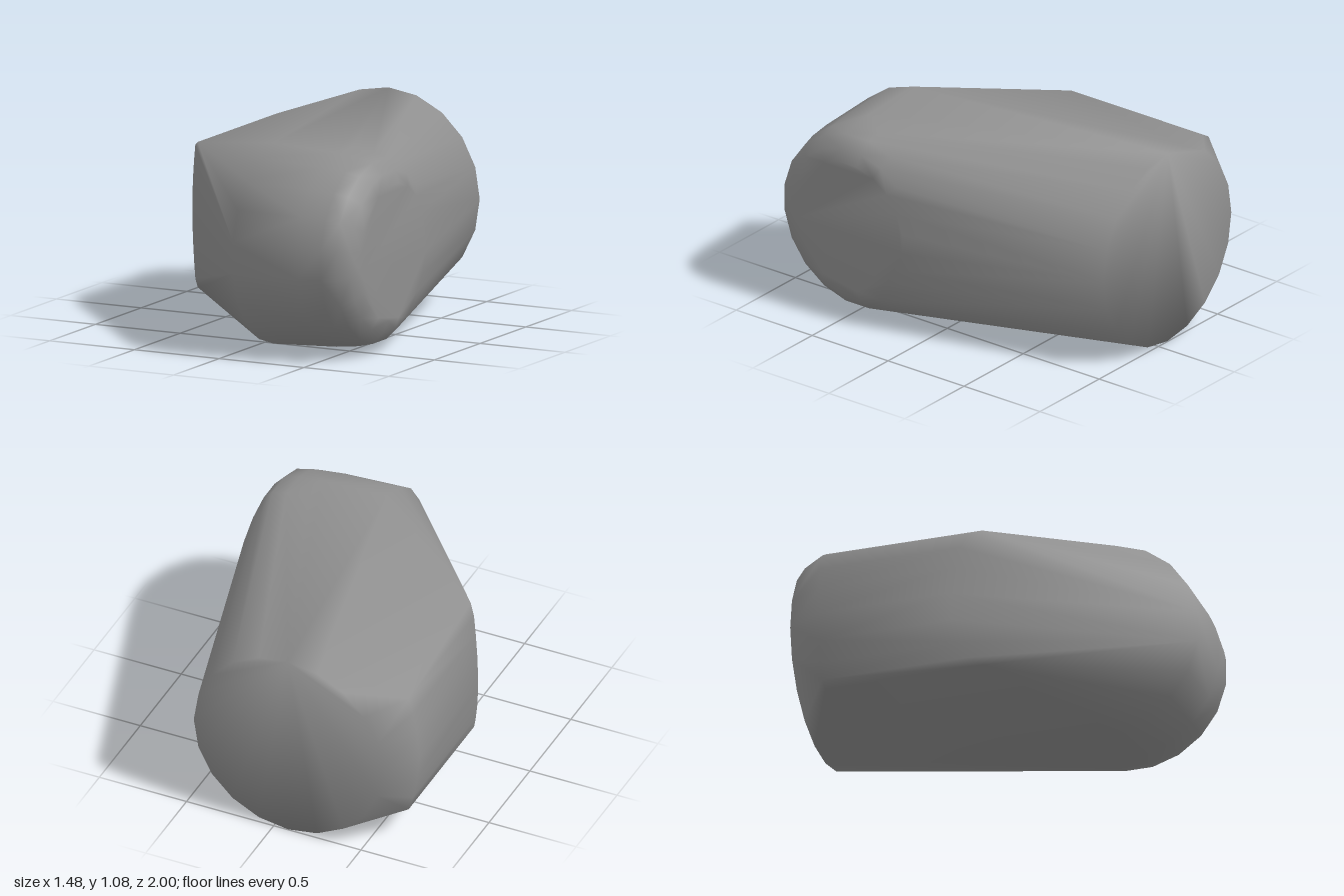
import * as THREE from 'three';
import { ConvexGeometry } from 'three/addons/geometries/ConvexGeometry.js';
import { mergeVertices } from 'three/addons/utils/BufferGeometryUtils.js';

const MID = 0.54; // height of the body's axis
const SEGMENTS = 20;

// Evenly spaced points round a circle, placed by a callback
function ring(radius, phase, place) {
  return Array.from({ length: SEGMENTS }, (_, i) => {
    const a = ((i + phase) / SEGMENTS) * Math.PI * 2;
    return place(Math.cos(a) * radius, Math.sin(a) * radius);
  });
}

export function createModel() {
  const points = [];

  // Round back; its top point sits a hair further out so the cap fans from there
  points.push(...ring(0.54, 0, (u, v) => new THREE.Vector3(-0.08 + u, MID + v, v > 0.535 ? -1 : -0.997)));

  // Rounded end on the left: [x, radius] of circles about a sideways axis
  const endProfile = [[0.08, 0.538], [0.45, 0.52], [0.58, 0.505], [0.66, 0.485], [0.715, 0.425], [0.74, 0.36]];
  for (const [x, radius] of endProfile) {
    points.push(...ring(radius, 0.5, (u, v) => new THREE.Vector3(x, MID + v, 0.467 + u)));
  }

  // Bowed narrow face on the right: [x, half height], trimmed by the slanted front
  const bowProfile = [[-0.63, 0.385], [-0.68, 0.355], [-0.705, 0.27], [-0.73, 0.15], [-0.742, 0]];
  for (const [x, half] of bowProfile) {
    const front = (x + 0.68) * 1.31;
    for (const side of [-1, 1]) {
      points.push(new THREE.Vector3(x, MID + side * half, front));
      points.push(new THREE.Vector3(x, MID + side * half, -0.8));
    }
  }

  // Skin stretched over all the sections, shaded smoothly throughout
  let geometry = new ConvexGeometry(points);
  geometry.deleteAttribute('normal');
  geometry = mergeVertices(geometry, 1e-4);
  geometry.computeVertexNormals();

  const body = new THREE.Mesh(geometry, new THREE.MeshStandardMaterial({ color: 0x909090 }));
  body.name = 'body';

  const model = new THREE.Group();
  model.name = 'roundedBlock';
  model.add(body);
  return model;
}
